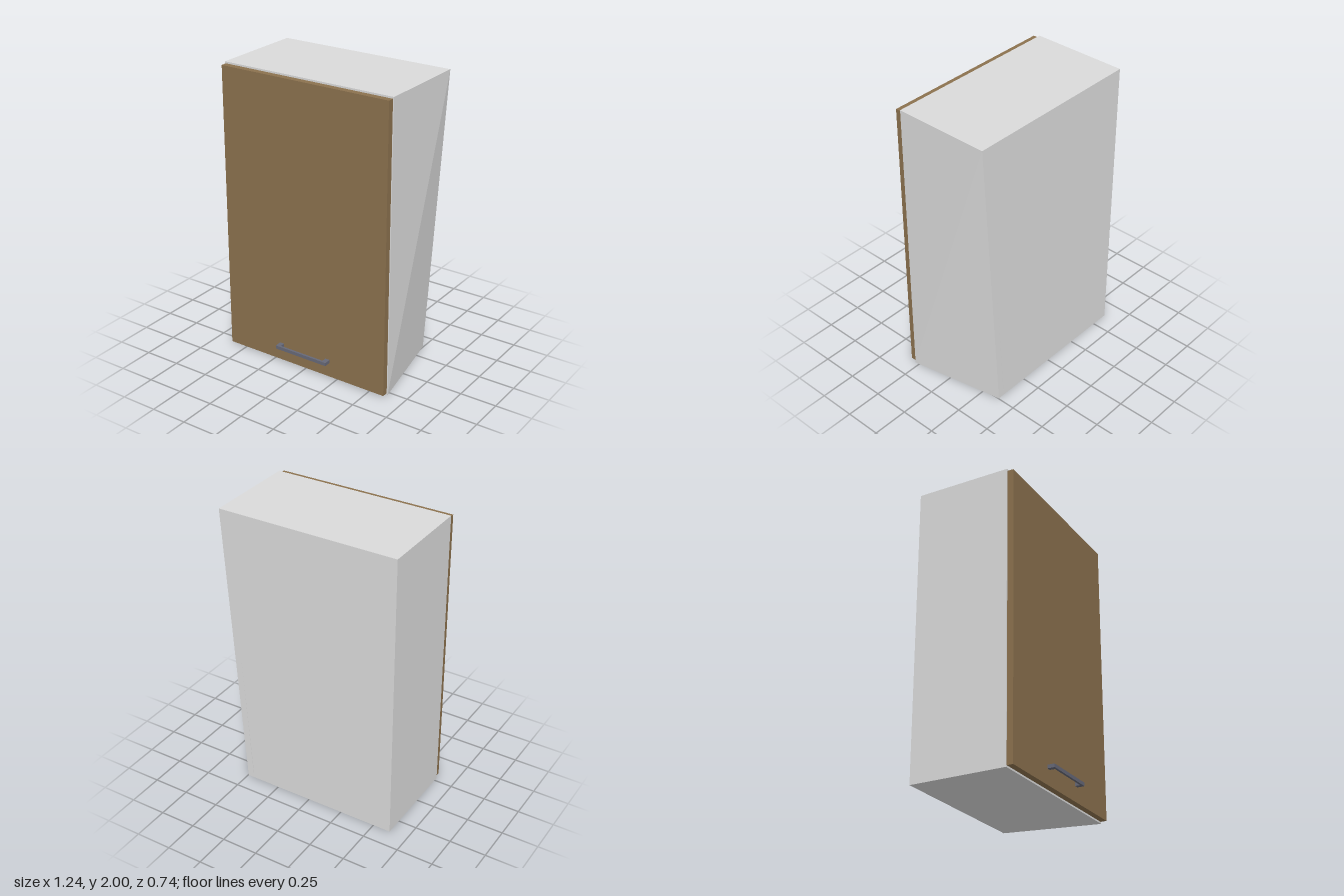
import * as THREE from 'three';

export function createModel() {
  const group = new THREE.Group();
  group.name = 'wallCabinet';

  const carcassPaint = new THREE.MeshStandardMaterial({ color: 0xdadada });
  carcassPaint.name = 'light grey carcass';
  const doorWood = new THREE.MeshStandardMaterial({ color: 0x8b714e });
  doorWood.name = 'brown door';
  const handleMetal = new THREE.MeshStandardMaterial({ color: 0x666877 });
  handleMetal.name = 'slate handle';

  // Box given by its lower and upper limits on each axis
  function slab(name, material, [x0, x1], [y0, y1], [z0, z1], parent = group) {
    const g = new THREE.BoxGeometry(x1 - x0, y1 - y0, z1 - z0);
    g.translate((x0 + x1) / 2, (y0 + y1) / 2, (z0 + z1) / 2);
    const mesh = new THREE.Mesh(g, material);
    mesh.name = name;
    parent.add(mesh);
    return mesh;
  }

  // Carcass limits and board thickness
  const W = 0.622, H = 2, back = -0.373, front = 0.28, t = 0.046;
  const skew = 0.125;

  // Carcass board: the lower rear corner on the +x side is pulled inwards
  function board(name, x, y, z) {
    const mesh = slab(name, carcassPaint, x, y, z);
    const g = mesh.geometry.toNonIndexed();
    const p = g.attributes.position;
    for (let i = 0; i < p.count; i++) {
      if (p.getX(i) > 0.5 && p.getY(i) < 0.1 && p.getZ(i) < -0.3) {
        p.setX(i, p.getX(i) - skew);
      }
    }
    g.computeVertexNormals();
    mesh.geometry = g;
  }

  const inner = [-W + t, W - t];
  board('leftSide', [W - t, W], [0, H], [back, front]);
  board('rightSide', [-W, -W + t], [0, H], [back, front]);
  board('topBoard', inner, [H - t, H], [back, front]);
  board('bottomBoard', inner, [0, t], [back, front]);
  board('backBoard', inner, [t, H - t], [back, back + 0.02]);

  // Door, slightly smaller than the carcass
  slab('door', doorWood, [-0.615, 0.615], [0.012, 1.988], [front, 0.322]);

  // Bar handle on two posts
  const handle = new THREE.Group();
  handle.name = 'handle';
  group.add(handle);
  const hy = [0.115, 0.138];
  slab('handleBar', handleMetal, [-0.2, 0.2], hy, [0.356, 0.371], handle);
  for (const s of [-1, 1]) {
    const x = [s * 0.168, s * 0.2].sort((a, b) => a - b);
    slab('handlePost', handleMetal, x, hy, [0.322, 0.356], handle);
  }

  return group;
}
